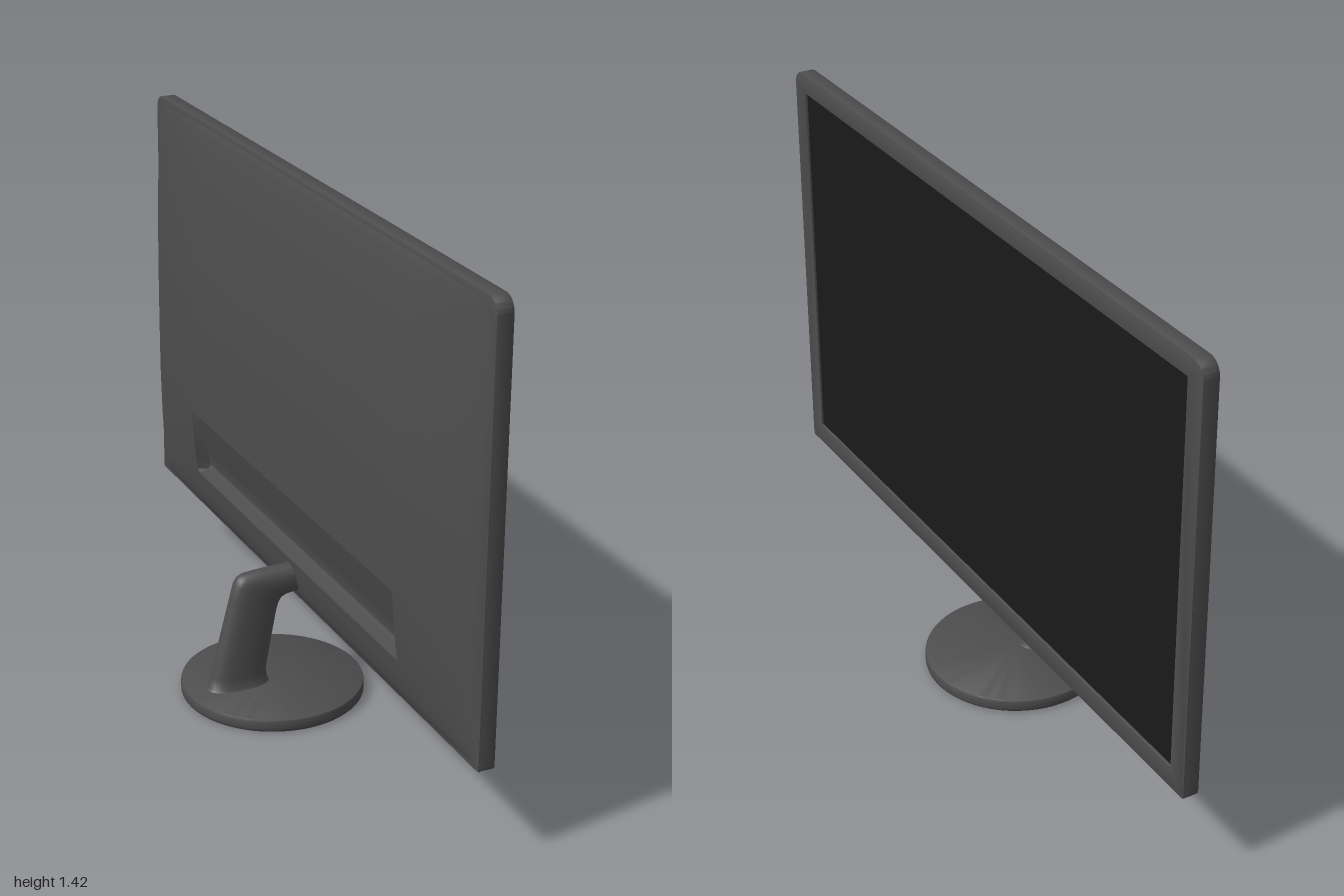
import * as THREE from 'three';
import { toCreasedNormals } from 'three/addons/utils/BufferGeometryUtils.js';

const BODY = new THREE.MeshStandardMaterial({ color: 0x4d4d4d });
const GLASS = new THREE.MeshStandardMaterial({ color: 0x1a1a1a });
const BOTTOM = 0.255, TOP = 1.425, CORNER = 0.04;

function part(name, geometry, material = BODY) {
  const mesh = new THREE.Mesh(geometry, material);
  mesh.name = name;
  return mesh;
}

// Surface from a rows x cols grid of points
function gridGeometry(rows, crease) {
  const cols = rows[0].length, index = [];
  for (let j = 0; j < rows.length - 1; j++) {
    for (let i = 0; i < cols - 1; i++) {
      const a = j * cols + i, b = a + 1, c = a + cols, d = c + 1;
      index.push(a, b, c, b, d, c);
    }
  }
  const g = new THREE.BufferGeometry();
  g.setAttribute('position', new THREE.Float32BufferAttribute(rows.flat(2), 3));
  g.setIndex(index);
  return toCreasedNormals(g, crease);
}

// Linear lookup in a list of [position, value]
function lookup(table, t) {
  if (t <= table[0][0]) return table[0][1];
  for (let i = 1; i < table.length; i++) {
    const [t0, v0] = table[i - 1], [t1, v1] = table[i];
    if (t <= t1) return v0 + (v1 - v0) * (t - t0) / (t1 - t0);
  }
  return table[table.length - 1][1];
}

// Bezel outline: rounded at the top, almost square at the bottom
function frameGeometry() {
  const e = 0.004, w = 1 - e, b = BOTTOM + e, t = TOP - e, r = CORNER - e, q = 0.006;
  const s = new THREE.Shape();
  s.moveTo(-w + q, b).lineTo(w - q, b);
  s.quadraticCurveTo(w, b, w, b + q).lineTo(w, t - r);
  s.absarc(w - r, t - r, r, 0, Math.PI / 2);
  s.lineTo(-w + r, t);
  s.absarc(-w + r, t - r, r, Math.PI / 2, Math.PI);
  s.lineTo(-w, b + q).quadraticCurveTo(-w, b, -w + q, b);
  const hole = new THREE.Path(), hw = 0.94 + e, hb = 0.315 - e, ht = 1.37 + e;
  hole.moveTo(-hw, hb).lineTo(-hw, ht).lineTo(hw, ht).lineTo(hw, hb).closePath();
  s.holes.push(hole);
  const g = new THREE.ExtrudeGeometry(s, {
    depth: 0.037, bevelThickness: e, bevelSize: e, bevelSegments: 2, curveSegments: 10,
  });
  g.translate(0, 0, 0.084).rotateY(Math.PI / 2);
  return toCreasedNormals(g, 0.6);
}

// Bulging back cover with a connector recess that deepens towards its lower ledge
function backGeometry() {
  const upright = [[BOTTOM, 0], [0.27, 0.2], [0.3, 0.38], [0.35, 0.55], [0.45, 0.79], [0.58, 0.97],
    [0.68, 1], [0.83, 1], [0.92, 0.98], [1, 0.93], [1.1, 0.82], [1.2, 0.68], [1.28, 0.51],
    [1.35, 0.34], [1.4, 0.17], [TOP, 0]];
  const across = [[0, 1], [0.6, 1], [0.65, 0.95], [0.7, 0.89], [0.8, 0.75], [0.9, 0.58],
    [0.95, 0.46], [0.98, 0.3], [0.993, 0.14], [1, 0]];
  const recessY = [[0.385, 0], [0.392, 0.75], [0.402, 0.95], [0.42, 1], [0.572, 0.3], [0.58, 0]];
  const recessZ = [[0.61, 1], [0.628, 0.9], [0.64, 0]];
  const merge = (...tables) => [...new Set(tables.flat().map((p) => p[0]))].sort((a, b) => a - b);
  const ys = merge(upright, recessY, [[1.388], [1.412], [1.42]]);
  const half = merge(across, recessZ, [[0.2], [0.4]]);
  const us = [...half.slice(1).reverse().map((u) => -u), ...half];
  const rows = ys.map((y) => {
    const k = Math.max(0, y - (TOP - CORNER));
    const width = 1 - CORNER + Math.sqrt(Math.max(0, CORNER * CORNER - k * k));
    return us.map((u) => {
      const bulge = 0.06 * lookup(upright, y) * lookup(across, Math.abs(u));
      const inset = 0.042 * lookup(recessY, y) * lookup(recessZ, Math.abs(u));
      return [0.085 - bulge + inset, y, u * width];
    });
  });
  return gridGeometry(rows, 0.5);
}

// Neck: rounded sections given by rear point, front point and half width
function neckGeometry() {
  const sections = [
    [-0.198, 0.033, -0.012, 0.033, 0.05], [-0.188, 0.042, -0.02, 0.042, 0.043],
    [-0.18, 0.07, -0.024, 0.07, 0.04], [-0.15, 0.19, -0.006, 0.17, 0.037],
    [-0.122, 0.3, 0.008, 0.24, 0.034], [-0.113, 0.335, 0.015, 0.264, 0.034],
    [-0.103, 0.351, 0.024, 0.277, 0.034], [-0.085, 0.359, 0.036, 0.283, 0.034],
    [-0.03, 0.363, 0.052, 0.286, 0.034], [0.08, 0.366, 0.085, 0.288, 0.034],
  ];
  const n = 28, round = (v) => Math.sign(v) * Math.abs(v) ** 0.8;
  const rows = sections.map(([x0, y0, x1, y1, w]) => Array.from({ length: n + 1 }, (_, i) => {
    const a = -(i % n) / n * Math.PI * 2;
    const c = round(Math.cos(a)) / 2;
    return [(x0 + x1) / 2 + (x1 - x0) * c, (y0 + y1) / 2 + (y1 - y0) * c, w * round(Math.sin(a))];
  }));
  return gridGeometry(rows, 0.8);
}

// Round foot with softened rims
function baseGeometry() {
  const profile = [[0, 0], [0.245, 0], [0.249, 0.004], [0.25, 0.008], [0.25, 0.029],
    [0.248, 0.034], [0.244, 0.036], [0, 0.037]].map(([x, y]) => new THREE.Vector2(x, y));
  return toCreasedNormals(new THREE.LatheGeometry(profile, 64), 0.6);
}

export function createModel() {
  const model = new THREE.Group();
  model.name = 'monitor';
  const display = new THREE.Group();
  display.name = 'display';
  const panel = new THREE.BoxGeometry(0.006, 1.065, 1.89);
  panel.translate(0.115, 0.8425, 0);
  display.add(part('bezel', frameGeometry()), part('screenPanel', panel, GLASS), part('backCover', backGeometry()));
  const stand = new THREE.Group();
  stand.name = 'stand';
  stand.add(part('neck', neckGeometry()), part('base', baseGeometry()));
  model.add(display, stand);
  return model;
}
